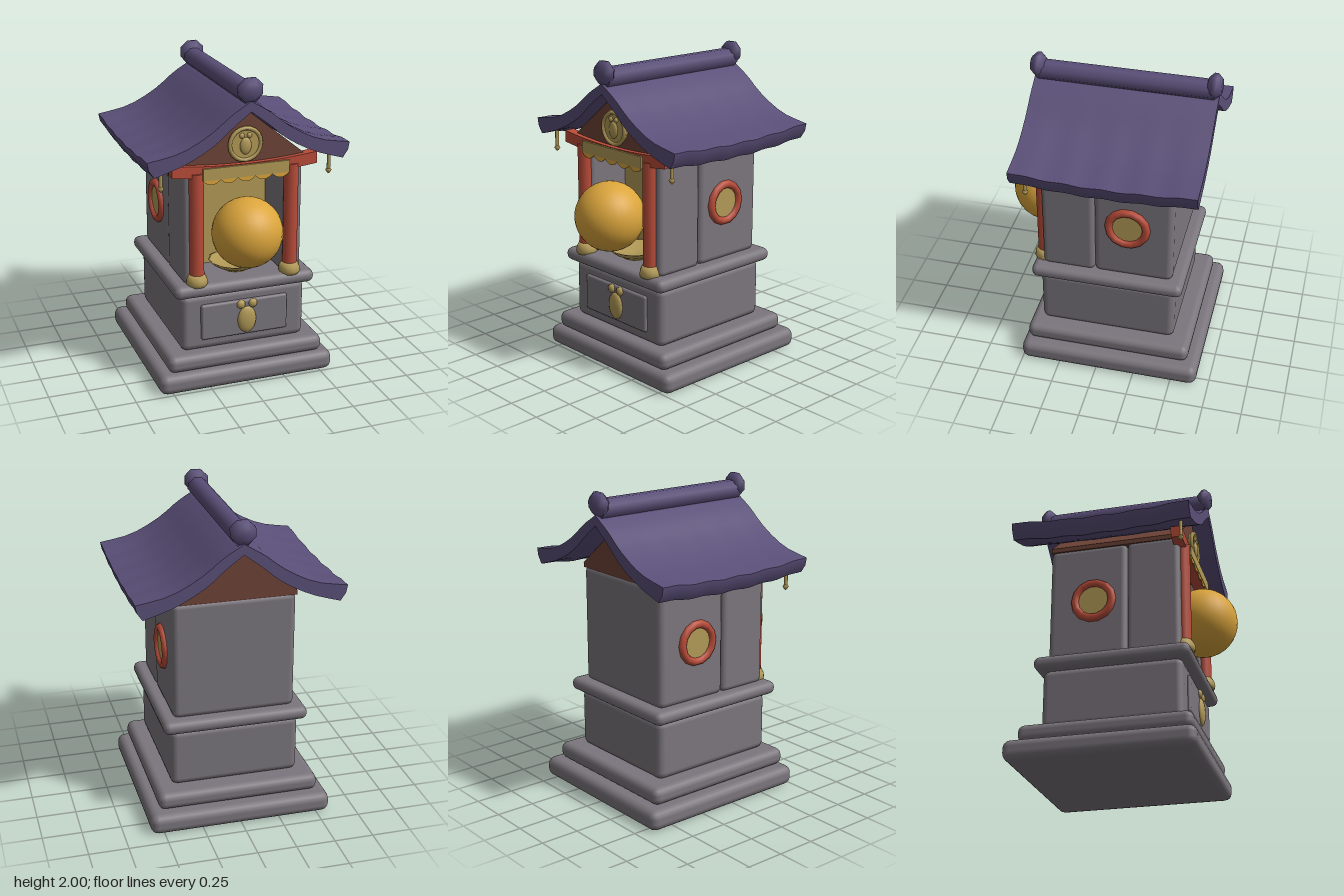
import * as THREE from 'three';
import { RoundedBoxGeometry } from 'three/addons/geometries/RoundedBoxGeometry.js';

function material(name, color, side = THREE.FrontSide) {
  const m = new THREE.MeshStandardMaterial({ color, side });
  m.name = name;
  return m;
}

export function createModel() {
  const stone = material('grey stone', 0x7b767d);
  const tile = material('purple tile', 0x5a4f78);
  const red = material('red lacquer', 0xb94c39);
  const gold = material('dull gold', 0xb29a57, THREE.DoubleSide);
  const amber = material('amber', 0xdba53c, THREE.DoubleSide);
  const brown = material('brown wood', 0x6e4337);

  const model = new THREE.Group();
  model.name = 'shrine';

  function add(name, geometry, mat, x = 0, y = 0, z = 0, parent = model) {
    const mesh = new THREE.Mesh(geometry, mat);
    mesh.name = name;
    mesh.position.set(x, y, z);
    parent.add(mesh);
    return mesh;
  }
  // Rounded block given by its limits
  function block(name, x0, x1, y0, y1, z0, z1, r, mat = stone) {
    return add(name, new RoundedBoxGeometry(x1 - x0, y1 - y0, z1 - z0, 2, r), mat,
      (x0 + x1) / 2, (y0 + y1) / 2, (z0 + z1) / 2);
  }
  const lathe = (points, sides) =>
    new THREE.LatheGeometry(points.map(([r, y]) => new THREE.Vector2(r, y)), sides);

  // Stepped base and pedestal
  block('bottomStep', -0.585, 0.585, 0, 0.13, -0.67, 0.505, 0.05);
  block('upperStep', -0.52, 0.52, 0.13, 0.24, -0.6, 0.475, 0.045);
  block('pedestal', -0.415, 0.415, 0.235, 0.62, -0.485, 0.4, 0.045);
  block('pedestalCap', -0.465, 0.465, 0.615, 0.7, -0.535, 0.45, 0.04);
  block('drawerFront', -0.29, 0.29, 0.31, 0.55, 0.38, 0.42, 0.015);

  // Cabinet with an open niche at the front
  block('cabinet', -0.392, 0.392, 0.69, 1.46, -0.46, 0.047, 0.04);
  for (const s of [-1, 1]) {
    block('nicheWall', s < 0 ? -0.392 : 0.255, s < 0 ? -0.255 : 0.392, 0.69, 1.46, 0.045, 0.385, 0.035);
  }
  add('nicheBackPanel', new THREE.BoxGeometry(0.515, 0.68, 0.05), gold, 0, 1.03, 0.075);

  // Triangular gable block
  const gableShape = new THREE.Shape([
    new THREE.Vector2(-0.395, 1.445), new THREE.Vector2(0.395, 1.445),
    new THREE.Vector2(0.395, 1.475), new THREE.Vector2(0, 1.795), new THREE.Vector2(-0.395, 1.475),
  ]);
  add('gable', new THREE.ExtrudeGeometry(gableShape, { depth: 0.84, bevelEnabled: false }), brown, 0, 0, -0.455);

  // Round side windows
  for (const s of [-1, 1]) {
    const ring = add('windowRing', new THREE.TorusGeometry(0.12, 0.027, 8, 14), red, s * 0.393, 1.07, -0.17);
    const pane = add('windowPane', new THREE.CylinderGeometry(0.105, 0.105, 0.012, 14), gold, s * 0.393, 1.07, -0.17);
    ring.rotation.y = Math.PI / 2;
    pane.rotation.z = Math.PI / 2;
  }

  // Columns with cushion feet
  for (const s of [-1, 1]) {
    add('column', new THREE.CylinderGeometry(0.047, 0.047, 0.7, 12), red, s * 0.31, 1.07, 0.39);
    add('columnFoot', lathe([[0, 0], [0.062, 0], [0.07, 0.02], [0.066, 0.045], [0.052, 0.075], [0, 0.078]], 12),
      gold, s * 0.31, 0.687, 0.39);
  }

  // Crossbeam with raised ends
  const beam = new RoundedBoxGeometry(0.94, 0.075, 0.07, 2, 0.015);
  const long = new THREE.BoxGeometry(0.94, 0.075, 0.07, 16, 1, 1);
  for (const g of [long]) {
    const p = g.attributes.position;
    for (let i = 0; i < p.count; i++) {
      const u = p.getX(i) / 0.47;
      p.setY(i, p.getY(i) + 0.03 * u * u);
    }
    g.computeVertexNormals();
  }
  beam.dispose();
  add('crossbeam', long, red, 0, 1.417, 0.385);

  // Valance: plain band over a scalloped cloth
  add('valanceBand', new THREE.BoxGeometry(0.56, 0.075, 0.012), gold, 0, 1.415, 0.432);
  const cloth = new THREE.Shape();
  cloth.moveTo(0.28, 1.4);
  cloth.lineTo(-0.28, 1.4);
  cloth.lineTo(-0.28, 1.375);
  for (let i = 0; i < 5; i++) {
    const x = -0.28 + i * 0.112;
    cloth.quadraticCurveTo(x + 0.056, 1.32, x + 0.112, 1.375);
  }
  add('valanceScallops', new THREE.ExtrudeGeometry(cloth, { depth: 0.008, bevelEnabled: false, curveSegments: 6 }),
    amber, 0, 0, 0.427);

  // Large orb and offering dish
  add('orb', new THREE.SphereGeometry(0.222, 28, 20), amber, 0, 1.02, 0.45);
  add('offeringDish', lathe([[0, 0], [0.08, 0], [0.09, 0.012], [0.14, 0.035], [0.175, 0.065],
    [0.16, 0.064], [0.11, 0.04], [0, 0.03]], 14), gold, 0, 0.7, 0.24);

  // Oval ornament with two knobs
  function ornament(name, x, y, z, size) {
    const g = new THREE.Group();
    g.name = name;
    g.position.set(x, y, z);
    g.scale.setScalar(size);
    add('oval', new THREE.SphereGeometry(1, 14, 10), gold, 0, 0, 0, g).scale.set(0.063, 0.09, 0.027);
    for (const s of [-1, 1]) {
      add('knob', new THREE.SphereGeometry(0.029, 10, 8), gold, s * 0.04, 0.108, 0, g).scale.z = 0.7;
    }
    model.add(g);
  }
  ornament('drawerOrnament', 0.013, 0.415, 0.42, 1);
  ornament('medallionOrnament', 0, 1.565, 0.412, 0.6);

  // Gable medallion
  add('medallionDisc', new THREE.CylinderGeometry(0.105, 0.105, 0.03, 20), gold, 0, 1.575, 0.395).rotation.x = Math.PI / 2;
  add('medallionRim', new THREE.TorusGeometry(0.1, 0.014, 6, 20), gold, 0, 1.575, 0.408);

  // Swept roof: a box bent between an upper and a lower curve, eaves lifting at the corners
  const curve = (pts) => new THREE.CatmullRomCurve3(pts.map(([x, y]) => new THREE.Vector3(x, y, 0)));
  const upper = curve([[0, 1.865], [0.12, 1.79], [0.25, 1.685], [0.44, 1.58], [0.648, 1.53]]);
  const lower = curve([[0, 1.8], [0.11, 1.715], [0.23, 1.61], [0.41, 1.505], [0.605, 1.432]]);
  const roof = new THREE.BoxGeometry(2, 2, 2, 20, 2, 28);
  const rp = roof.attributes.position;
  for (let i = 0; i < rp.count; i++) {
    const u = rp.getX(i), v = rp.getY(i), w = rp.getZ(i);
    const a = Math.abs(u);
    const pt = lower.getPoint(a).lerp(upper.getPoint(a), (v + 1) / 2);
    const bulge = v === 0 ? 0.012 * a : 0;
    const lift = a * a * (0.03 * w * w + 0.004 * Math.cos(w * Math.PI * 5)) - 0.004 * a * a;
    rp.setXYZ(i, Math.sign(u) * (pt.x + bulge), pt.y + lift, -0.0675 + 0.5725 * w);
  }
  roof.computeVertexNormals();
  add('roof', roof, tile);

  // Ridge pole and end caps
  const pole = add('ridgePole', new THREE.CylinderGeometry(0.064, 0.064, 1.1, 8), tile, 0, 1.9, -0.065);
  pole.rotation.set(Math.PI / 2, Math.PI / 8, 0);
  for (const z of [0.482, -0.612]) {
    const cap = add('ridgeCap', lathe([[0, -0.043], [0.05, -0.043], [0.083, -0.012], [0.083, 0.012],
      [0.05, 0.043], [0, 0.043]], 8), tile, 0, 1.93, z);
    cap.rotation.set(Math.PI / 2, Math.PI / 8, 0);
    cap.scale.set(1, 1, 0.92);
  }

  // Hanging chimes under the front eaves
  for (const s of [-1, 1]) {
    add('chimeRod', new THREE.CylinderGeometry(0.012, 0.012, 0.12, 8), gold, s * 0.545, 1.42, 0.43);
    add('chimeBob', lathe([[0, 0], [0.01, 0.008], [0.02, 0.025], [0.012, 0.035], [0, 0.036]], 8),
      gold, s * 0.545, 1.335, 0.43);
  }
  return model;
}
